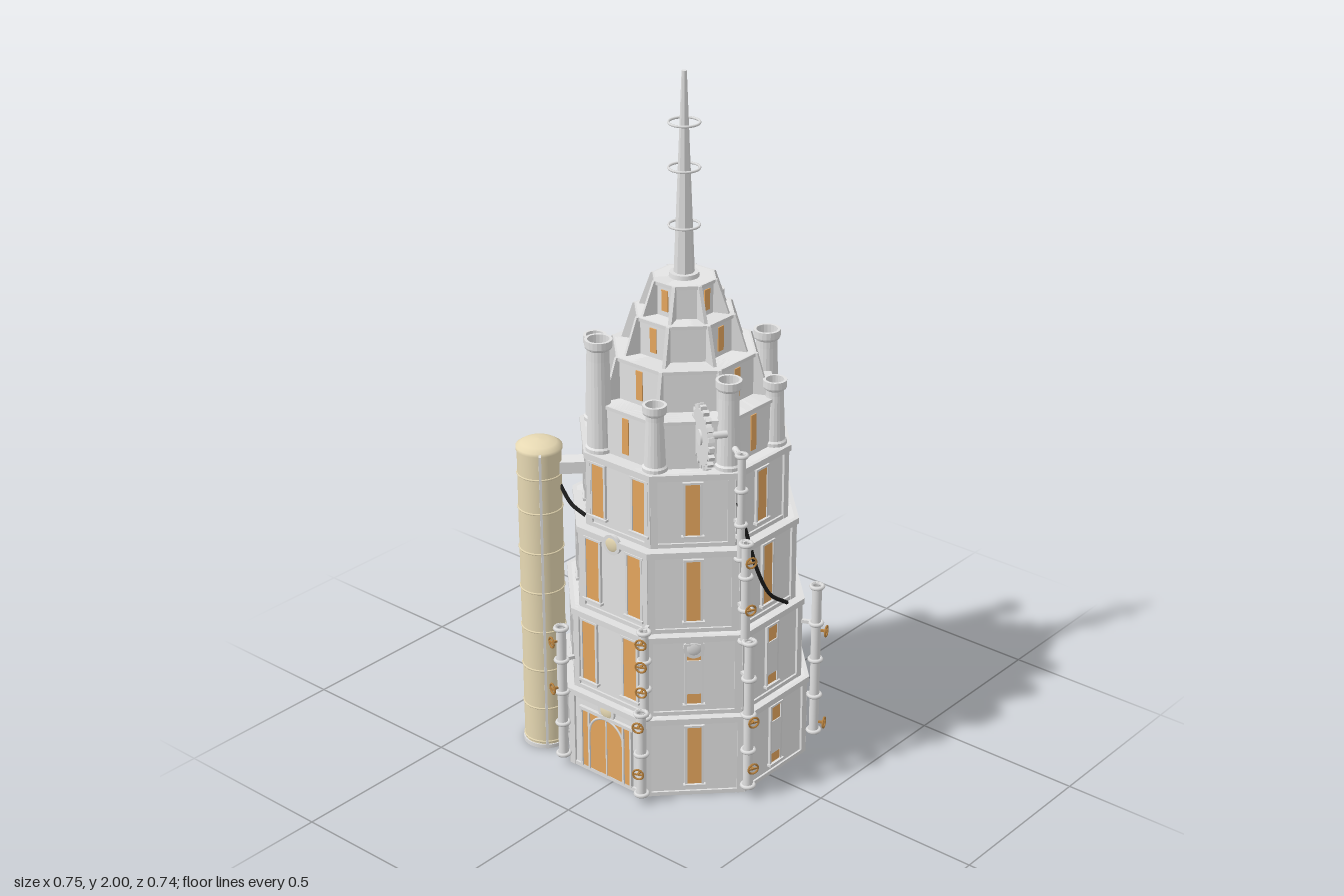
import * as THREE from 'three';

const mat = (name, color, side = THREE.FrontSide) =>
  Object.assign(new THREE.MeshStandardMaterial({ color, side }), { name });

export function createModel() {
  const M = {
    wall: mat('stone grey', 0xe4e4e4),
    trim: mat('trim grey', 0xdfdfdf),
    pipe: mat('pipe grey', 0xe2e2e2, THREE.DoubleSide),
    window: mat('amber window', 0xe6a75e),
    tank: mat('tank cream', 0xe8dab4),
    brass: mat('brass', 0xb8823f),
    cable: mat('cable black', 0x1c1c1c),
  };
  const root = new THREE.Group();
  root.name = 'tower';
  const tower = new THREE.Group();
  tower.name = 'octagonalTower';
  tower.position.set(-0.023, 0, -0.026);
  root.add(tower);

  const add = (parent, name, geo, m, x = 0, y = 0, z = 0) => {
    const mesh = new THREE.Mesh(geo, m);
    mesh.name = name;
    mesh.position.set(x, y, z);
    parent.add(mesh);
    return mesh;
  };
  const group = (parent, name, rotY, x = 0, y = 0, z = 0) => {
    const g = new THREE.Group();
    g.name = name;
    g.rotation.y = rotY;
    g.position.set(x, y, z);
    parent.add(g);
    return g;
  };
  const box = (w, h, d) => new THREE.BoxGeometry(w, h, d);
  const flat = (geo) => {
    const g = geo.toNonIndexed();
    g.computeVertexNormals();
    return g;
  };
  // Octagonal slab given by apothem, with flat sides on the axes
  const octagon = (a, h) => {
    const r = a / Math.cos(Math.PI / 8);
    return flat(new THREE.CylinderGeometry(r, r, h, 8, 1, false, Math.PI / 8));
  };
  const tube = (parent, name, pts, r, m) => add(parent, name, new THREE.TubeGeometry(
    new THREE.CatmullRomCurve3(pts.map((p) => new THREE.Vector3(...p))), 24, r, 8), m);

  // Framed window on a wall whose outside is local z = a
  function addWindow(parent, x, y0, y1, w, a) {
    const h = y1 - y0, y = (y0 + y1) / 2;
    add(parent, 'windowPane', box(w, h, 0.008), M.window, x, y, a + 0.001);
    for (const s of [-1, 1]) add(parent, 'windowJamb', box(0.007, h, 0.016), M.trim, x + s * (w / 2 + 0.002), y, a);
    add(parent, 'windowLintel', box(w + 0.014, 0.006, 0.018), M.trim, x, y1, a);
    add(parent, 'windowSill', box(w + 0.02, 0.007, 0.026), M.trim, x, y0, a);
  }

  // Four main storeys, then four narrow crown storeys
  const tiers = [
    [0.345, 0, 0.25], [0.328, 0.25, 0.5], [0.308, 0.5, 0.75], [0.284, 0.75, 0.97],
    [0.248, 0.97, 1.11], [0.19, 1.11, 1.23], [0.132, 1.23, 1.335], [0.084, 1.335, 1.43],
  ];
  tiers.forEach(([a, y0, y1], t) => {
    const main = t < 4, wallA = a - (main ? 0.012 : 0.005), ledge = main ? 0.018 : 0.01;
    add(tower, 'storeyWall', octagon(wallA, y1 - y0), M.wall, 0, (y0 + y1) / 2, 0);
    add(tower, 'storeyCornice', octagon(a, ledge), M.trim, 0, y1 - ledge / 2, 0);
    if (main) add(tower, 'storeyPlinth', octagon(a - 0.006, 0.012), M.trim, 0, y0 + 0.006, 0);

    for (let k = 0; k < 8; k++) {
      const face = group(tower, 'storeyFace', k * Math.PI / 4);
      const edge = wallA * Math.tan(Math.PI / 8);
      if (main) {
        // Pilaster strips beside each corner
        for (const s of [-1, 1]) {
          add(face, 'pilaster', box(0.02, y1 - y0 - ledge, 0.014), M.trim, s * (edge - 0.008), (y0 + y1 - ledge) / 2, wallA);
        }
        if (k === 0 && t > 0) {
          for (const s of [-1, 1]) addWindow(face, s * 0.076, y0 + 0.032, y1 - 0.025, 0.05, wallA);
        } else if (k > 0) {
          addWindow(face, 0, y0 + 0.032, y1 - 0.028, 0.042, wallA);
        }
        // Shutters on the lower left-hand windows
        if ((k === 2 && t < 2) || (k === 1 && t === 1)) {
          add(face, 'shutter', box(0.046, 0.105, 0.016), M.wall, 0, y0 + 0.12, wallA);
        }
      } else if (k % 2 === 0) {
        // Narrow crown windows on the four main sides
        add(face, 'crownWindow', box(0.022, y1 - y0 - 0.035, 0.006), M.window, 0, (y0 + y1) / 2 - 0.002, wallA);
      }
    }
    // Sloping buttress fins on the crown corners
    if (t > 4) {
      const r = wallA / Math.cos(Math.PI / 8), h = y1 - y0;
      const shape = new THREE.Shape([[-0.01, 0], [0.042, 0], [0.008, h], [-0.01, h]].map((p) => new THREE.Vector2(...p)));
      const fin = new THREE.ExtrudeGeometry(shape, { depth: 0.01, bevelEnabled: false });
      fin.translate(r, 0, -0.005);
      for (let k = 0; k < 8; k++) add(tower, 'buttressFin', fin, M.trim, 0, y0, 0).rotation.y = Math.PI / 8 + k * Math.PI / 4;
    }
  });

  // Entrance with arched surrounds
  const entrance = group(tower, 'entrance', 0, 0, 0, 0.333);
  add(entrance, 'doorPanel', box(0.18, 0.185, 0.009), M.window, 0, 0.103, 0.001);
  for (const x of [-0.092, -0.064, 0.064, 0.092]) add(entrance, 'doorPost', box(0.006, 0.185, 0.02), M.trim, x, 0.103, 0);
  add(entrance, 'doorArch', new THREE.TorusGeometry(0.064, 0.004, 6, 24, Math.PI), M.trim, 0, 0.13, 0.005);
  add(entrance, 'doorSplit', box(0.004, 0.18, 0.014), M.trim, 0, 0.1, 0.001);
  add(entrance, 'doorLintel', box(0.2, 0.01, 0.02), M.trim, 0, 0.2, 0);

  // Round lamps and medallion on the walls
  function addLamp(rot, a, y, m) {
    const g = group(tower, 'wallLamp', rot);
    const disc = add(g, 'lampRim', new THREE.CylinderGeometry(0.03, 0.03, 0.01, 24), M.trim, 0, y, a);
    disc.rotation.x = Math.PI / 2;
    add(g, 'lampGlass', new THREE.SphereGeometry(0.025, 20, 12), m, 0, y, a).scale.z = 0.35;
  }
  addLamp(0, 0.335, 0.22, M.tank);
  addLamp(0, 0.303, 0.735, M.tank);
  addLamp(Math.PI / 4, 0.318, 0.46, M.wall);

  // Open chimneys around the crown, in three heights
  const tops = [1.225, 1.16, 1.295], rims = [0.036, 0.033, 0.038, 0.033, 0.038, 0.034, 0.038, 0.033];
  for (let i = 0; i < 8; i++) {
    const a = 3 * Math.PI / 8 - i * Math.PI / 4, top = tops[i % 3], R = rims[i];
    const profile = [[R + 0.002, 0.965], [R + 0.002, 0.98], [R - 0.003, 0.985], [R - 0.009, top - 0.03],
      [R - 0.002, top - 0.025], [R, top - 0.02], [R, top], [R - 0.008, top], [R - 0.01, 0.975]];
    const geo = new THREE.LatheGeometry(profile.map((p) => new THREE.Vector2(...p)), 20);
    add(tower, 'chimney', flat(geo), M.pipe, 0.258 * Math.sin(a), 0, 0.258 * Math.cos(a));
  }

  // Spire with three rings
  add(tower, 'spireBase', new THREE.CylinderGeometry(0.04, 0.042, 0.012, 24), M.trim, 0, 1.436, 0);
  add(tower, 'spire', flat(new THREE.CylinderGeometry(0.007, 0.029, 0.57, 8)), M.trim, 0, 1.715, 0);
  for (const y of [1.575, 1.735, 1.86]) {
    add(tower, 'spireRing', new THREE.TorusGeometry(0.042, 0.0035, 6, 32), M.trim, 0, y, 0).rotation.x = Math.PI / 2;
  }

  // Corner pipes: corner angle, radius, bottom, top, thickness, valve heights
  const c = Math.PI / 8;
  const pipes = [
    [3 * c, 0.333, 0.72, 1.04, 0.011, []],
    [3 * c, 0.363, 0.48, 0.79, 0.013, [0.595, 0.74]],
    [3 * c, 0.388, 0.03, 0.5, 0.014, [0.105, 0.255]],
    [c, 0.36, 0.25, 0.53, 0.013, [0.35, 0.43, 0.5]],
    [c, 0.39, 0.02, 0.29, 0.014, [0.105, 0.255]],
    [-c, 0.387, 0.03, 0.45, 0.014, [0.255, 0.405]],
    [5 * c, 0.39, 0.07, 0.55, 0.014, [0.105, 0.405]],
  ];
  for (const [rot, r, y0, y1, R, valves] of pipes) {
    const g = group(tower, 'cornerPipe', rot);
    add(g, 'pipeBody', new THREE.CylinderGeometry(R, R, y1 - y0, 16, 1, true), M.pipe, 0, (y0 + y1) / 2, r);
    const n = Math.max(2, Math.round((y1 - y0) / 0.11));
    for (let i = 0; i <= n; i++) {
      const y = y0 + 0.006 + (y1 - y0 - 0.012) * i / n;
      add(g, 'pipeFlange', new THREE.TorusGeometry(R + 0.003, 0.006, 6, 16), M.trim, 0, y, r).rotation.x = Math.PI / 2;
      if (i % 2) add(g, 'pipeBracket', box(0.01, 0.01, 0.05), M.trim, 0, y, r - 0.03);
    }
    for (const y of valves) {
      add(g, 'valveWheel', new THREE.TorusGeometry(0.015, 0.003, 6, 20), M.brass, 0, y, r + 0.03);
      add(g, 'valveStem', box(0.006, 0.006, 0.032), M.brass, 0, y, r + 0.015);
      add(g, 'valveSpoke', box(0.03, 0.004, 0.004), M.brass, 0, y, r + 0.03);
    }
  }
  tube(root, 'chimneyFeedPipe', [[0.22, 1.03, 0.07], [0.25, 1.035, 0.085], [0.284, 1.02, 0.102]], 0.009, M.pipe);

  // Storage tank beside the tower, with a shallow domed cap
  const tank = group(root, 'storageTank', -Math.PI / 4, -0.308, 0, 0.258);
  add(tank, 'tankBody', new THREE.CylinderGeometry(0.062, 0.062, 0.935, 32), M.tank, 0, 0.473, 0);
  const dome = [[0.065, 0.932], [0.065, 0.942], [0.05, 0.952], [0.027, 0.959], [0, 0.961]];
  add(tank, 'tankCap', new THREE.LatheGeometry(dome.map((p) => new THREE.Vector2(...p)), 32), M.tank);
  add(tank, 'tankFoot', new THREE.CylinderGeometry(0.066, 0.066, 0.012, 32), M.trim, 0, 0.006, 0);
  for (const y of [0.02, 0.13, 0.255, 0.38, 0.505, 0.63, 0.755, 0.86]) {
    add(tank, 'tankBand', new THREE.TorusGeometry(0.062, 0.003, 6, 32), M.tank, 0, y, 0).rotation.x = Math.PI / 2;
  }
  for (const s of [-1, 1]) add(tank, 'tankStrut', box(0.026, 0.93, 0.007), M.trim, s * 0.07, 0.475, 0);
  add(tank, 'tankLink', box(0.05, 0.035, 0.12), M.wall, 0.004, 0.88, -0.1);

  // Hanging cables
  tube(root, 'sideCable', [[0.27, 0.89, 0.098], [0.276, 0.76, 0.058], [0.28, 0.65, 0.02],
    [0.285, 0.56, -0.03], [0.29, 0.507, -0.1]], 0.0055, M.cable);
  tube(root, 'frontCable', [[-0.255, 0.825, 0.232], [-0.215, 0.78, 0.232], [-0.16, 0.76, 0.232]], 0.0055, M.cable);

  // Toothed wheel with hub and axle
  const gear = group(root, 'gearWheel', -0.61, 0.2, 1.085, 0.16);
  add(gear, 'gearDisc', new THREE.CylinderGeometry(0.078, 0.078, 0.016, 40), M.trim).rotation.x = Math.PI / 2;
  for (let i = 0; i < 20; i++) {
    const a = i * Math.PI / 10;
    add(gear, 'gearTooth', box(0.016, 0.012, 0.016), M.trim, 0.082 * Math.cos(a), 0.082 * Math.sin(a), 0).rotation.z = a;
  }
  add(gear, 'gearHub', new THREE.CylinderGeometry(0.022, 0.022, 0.026, 20), M.wall).rotation.x = Math.PI / 2;
  add(gear, 'gearAxle', new THREE.CylinderGeometry(0.01, 0.01, 0.07, 12), M.trim, 0, 0, -0.03).rotation.x = Math.PI / 2;

  return root;
}
